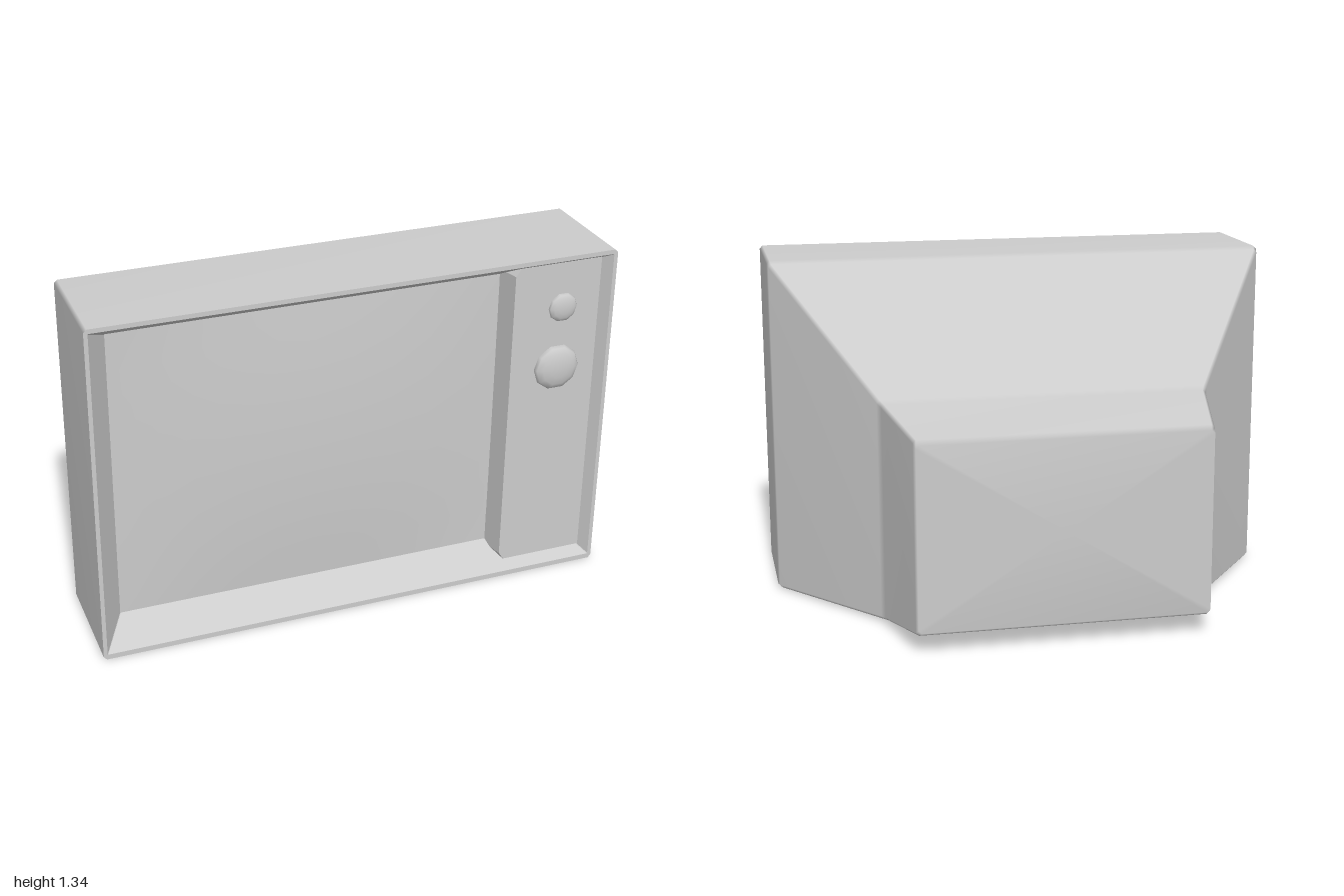
import * as THREE from 'three';

const smoothGrey = new THREE.MeshStandardMaterial({ color: 0xcccccc });
const flatGrey = new THREE.MeshStandardMaterial({ color: 0xcccccc, flatShading: true });

// Rectangle outline with clipped corners, counter-clockwise seen from the front
function clippedRect(x, y0, y1, c) {
  return [
    [-x + c, y0], [x - c, y0], [x, y0 + c], [x, y1 - c],
    [x - c, y1], [-x + c, y1], [-x, y1 - c], [-x, y0 + c],
  ];
}

// Skin a list of sections { z, pts }, optionally closing the first and last
function loft(sections, capFirst, capLast) {
  const pos = [], index = [], n = sections[0].pts.length;
  for (const s of sections) for (const [x, y] of s.pts) pos.push(x, y, s.z);
  for (let r = 0; r < sections.length - 1; r++) {
    for (let i = 0; i < n; i++) {
      const j = (i + 1) % n, a = r * n, b = a + n;
      index.push(a + i, a + j, b + j, a + i, b + j, b + i);
    }
  }
  const cap = (r, back) => {
    const { z, pts } = sections[r], centre = pos.length / 3;
    pos.push(pts.reduce((t, p) => t + p[0], 0) / n, pts.reduce((t, p) => t + p[1], 0) / n, z);
    for (let i = 0; i < n; i++) {
      const a = r * n + i, b = r * n + (i + 1) % n;
      index.push(centre, back ? b : a, back ? a : b);
    }
  };
  if (capFirst) cap(0, true);
  if (capLast) cap(sections.length - 1, false);
  const g = new THREE.BufferGeometry();
  g.setAttribute('position', new THREE.Float32BufferAttribute(pos, 3));
  g.setIndex(index);
  g.computeVertexNormals();
  return g;
}

export function createModel() {
  const model = new THREE.Group();
  model.name = 'television';
  const add = (name, geometry, material) => {
    const mesh = new THREE.Mesh(geometry, material);
    mesh.name = name;
    model.add(mesh);
    return mesh;
  };

  // Cabinet shell, back to front: z, half width, bottom, top
  const shell = [
    [-0.655, 0.553, 0.085, 0.79],
    [-0.625, 0.56, 0.068, 0.805],
    [-0.3, 0.628, 0.014, 0.86],
    [-0.27, 0.642, 0.01, 0.873],
    [0.2, 0.995, 0.002, 1.322],
    [0.222, 1, 0, 1.335],
    [0.655, 1, 0, 1.335],
  ].map(([z, x, y0, y1]) => ({ z, pts: clippedRect(x, y0, y1, 0.012) }));
  add('cabinet', loft(shell, true, false), smoothGrey);

  // Thin front rim and the sloping walls down to the screen
  const surround = [
    { z: 0.655, pts: clippedRect(1, 0, 1.335, 0.012) },
    { z: 0.655, pts: clippedRect(0.985, 0.02, 1.318, 0.002) },
    { z: 0.525, pts: clippedRect(0.9, 0.1, 1.245, 0.002) },
  ];
  add('screenSurround', loft(surround, false, false), flatGrey);

  // Slightly bulged screen
  const w = 1.52, h = 1.145;
  const screen = new THREE.PlaneGeometry(w, h, 10, 8);
  const p = screen.attributes.position;
  for (let i = 0; i < p.count; i++) {
    const u = p.getX(i) / (w / 2), v = p.getY(i) / (h / 2);
    p.setZ(i, 0.025 * (1 - u * u) * (1 - v * v));
  }
  screen.computeVertexNormals();
  add('screen', screen, smoothGrey).position.set(-0.14, 0.6725, 0.525);

  // Raised control panel with a bevelled left side
  const panelOutline = (left, right, y0, y1) => [
    [left + 0.02, y0], [right, y0], [right, y1],
    [left + 0.02, y1], [left, y1 - 0.03], [left, y0 + 0.03],
  ];
  add('controlPanel', loft([
    { z: 0.52, pts: panelOutline(0.588, 0.96, 0.05, 1.295) },
    { z: 0.615, pts: panelOutline(0.61, 0.96, 0.05, 1.295) },
  ], true, true), flatGrey);

  // Shallow domed knobs
  for (const [name, x, y, r] of [['smallKnob', 0.81, 1.115, 0.058], ['largeKnob', 0.8, 0.87, 0.092]]) {
    const dome = new THREE.SphereGeometry(r, 10, 4, 0, Math.PI * 2, 0, Math.PI / 2);
    dome.rotateX(Math.PI / 2);
    dome.scale(1, 1, 0.35);
    add(name, dome, smoothGrey).position.set(x, y, 0.615);
  }

  return model;
}
